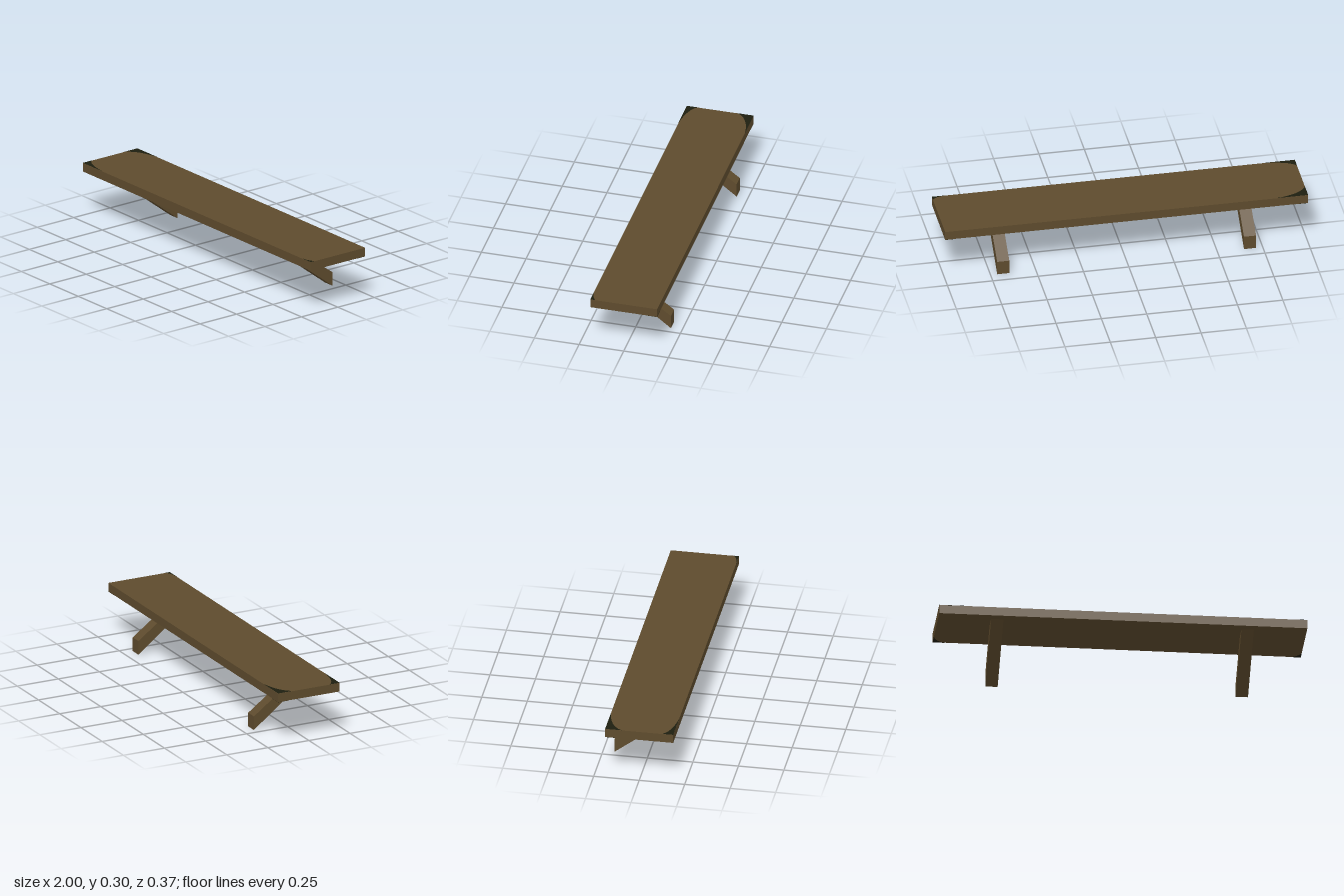
import * as THREE from 'three';

export function createModel() {
  const model = new THREE.Group();
  model.name = 'shelf';

  const wood = new THREE.MeshStandardMaterial({ color: 0x5e4b2d });
  wood.name = 'brown wood';
  const worn = new THREE.MeshStandardMaterial({ color: 0x1d1e10, side: THREE.DoubleSide });
  worn.name = 'dark worn wood';

  const add = (name, geometry, material) => {
    const mesh = new THREE.Mesh(geometry, material);
    mesh.name = name;
    model.add(mesh);
    return mesh;
  };

  // Long flat board
  const halfDepth = 0.187, bottom = 0.251, top = 0.3;
  const board = add('board', new THREE.BoxGeometry(2, top - bottom, 2 * halfDepth), wood);
  board.position.y = (top + bottom) / 2;

  // Slanted brackets: side profile in (-z, y), extruded along x
  const width = 0.067;
  const profile = new THREE.Shape([
    new THREE.Vector2(-0.14, bottom),
    new THREE.Vector2(halfDepth, 0),
    new THREE.Vector2(halfDepth, 0.078),
    new THREE.Vector2(-0.05, bottom),
  ]);
  const bracketGeometry = new THREE.ExtrudeGeometry(profile, { depth: width, bevelEnabled: false });
  bracketGeometry.translate(0, 0, -width / 2).rotateY(Math.PI / 2);
  for (const side of [-1, 1]) {
    const bracket = add(side < 0 ? 'rightBracket' : 'leftBracket', bracketGeometry, wood);
    bracket.position.x = side * 0.68;
  }

  // Dark worn corners, each hollowed in towards its corner
  const wornCorner = (sx, sz, y, lengthX, lengthZ) => {
    const shape = new THREE.Shape();
    shape.moveTo(0, 0);
    shape.lineTo(-sx * lengthX, 0);
    shape.quadraticCurveTo(-sx * lengthX * 0.2, -sz * lengthZ * 0.2, 0, -sz * lengthZ);
    const patch = add('wornCorner', new THREE.ShapeGeometry(shape, 6).rotateX(Math.PI / 2), worn);
    patch.position.set(sx, y, sz * halfDepth);
  };
  wornCorner(-1, -1, top + 0.001, 0.18, 0.09);
  wornCorner(-1, 1, top + 0.001, 0.18, 0.06);
  wornCorner(1, 1, top + 0.001, 0.08, 0.03);
  wornCorner(1, -1, bottom - 0.001, 0.06, 0.06);
  wornCorner(-1, -1, bottom - 0.001, 0.07, 0.07);

  return model;
}
